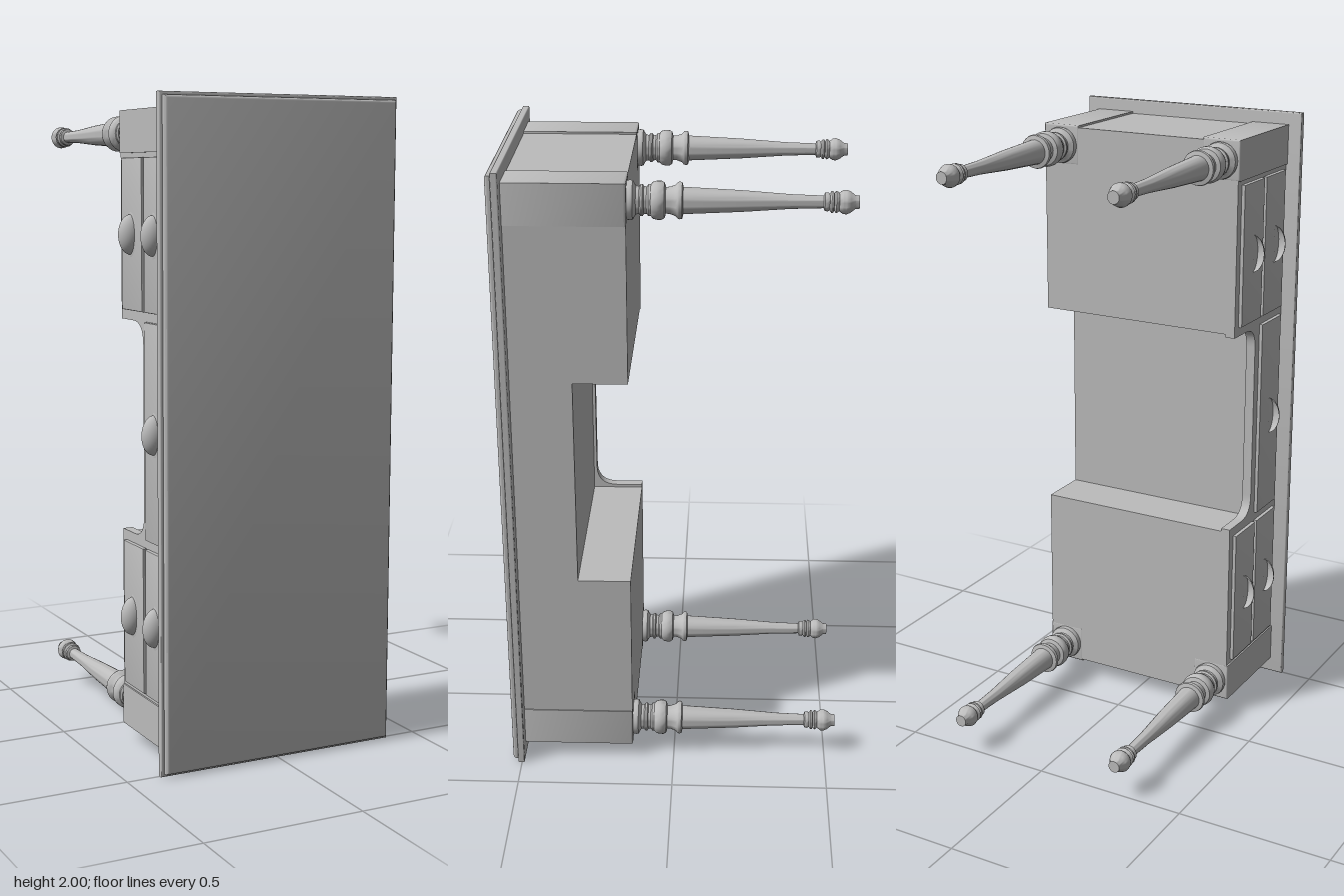
import * as THREE from 'three';
import { toCreasedNormals } from 'three/addons/utils/BufferGeometryUtils.js';

const MID = 1.006; // middle of the desk along its length (y)

export function createModel() {
  const group = new THREE.Group();
  const grey = new THREE.MeshStandardMaterial({ color: 0xbcbcbc, side: THREE.DoubleSide });
  grey.name = 'plain grey';

  const add = (name, geometry, x = 0, y = 0, z = 0) => {
    const mesh = new THREE.Mesh(geometry, grey);
    mesh.name = name;
    mesh.position.set(x, y, z);
    group.add(mesh);
    return mesh;
  };

  const rectangle = (w, h) => new THREE.Shape([
    new THREE.Vector2(-w / 2, -h / 2), new THREE.Vector2(w / 2, -h / 2),
    new THREE.Vector2(w / 2, h / 2), new THREE.Vector2(-w / 2, h / 2),
  ]);

  // Slab with bevelled edges, w x h x d overall, centred, thin along z
  const slab = (w, h, d, bevel, segments = 1) => {
    const geometry = new THREE.ExtrudeGeometry(rectangle(w - 2 * bevel, h - 2 * bevel), {
      depth: d - 2 * bevel, bevelSize: bevel, bevelThickness: bevel, bevelSegments: segments,
    });
    geometry.translate(0, 0, -d / 2 + bevel);
    return toCreasedNormals(geometry, 0.6);
  };

  // Case outline with a kneehole; drawn as (z, y) and extruded from x0 towards -x
  const caseSection = (x0, x1, half, open, depth, radius) => {
    const s = new THREE.Shape();
    s.moveTo(0.495, MID - half);
    s.lineTo(0.495, MID + half);
    s.lineTo(0.135, MID + half);
    s.lineTo(0.135, MID + open);
    if (radius) {
      s.lineTo(depth - radius, MID + open);
      s.quadraticCurveTo(depth, MID + open, depth, MID + open - radius);
      s.lineTo(depth, MID - open + radius);
      s.quadraticCurveTo(depth, MID - open, depth - radius, MID - open);
    } else {
      s.lineTo(depth, MID + open);
      s.lineTo(depth, MID - open);
    }
    s.lineTo(0.135, MID - open);
    s.lineTo(0.135, MID - half);
    const geometry = new THREE.ExtrudeGeometry(s, { depth: x0 - x1, bevelEnabled: false, curveSegments: 10 });
    geometry.rotateY(-Math.PI / 2);
    geometry.translate(x0, 0, 0);
    return toCreasedNormals(geometry, 0.5);
  };

  // Desk top: wide lower moulding and a narrower rounded upper board
  add('topMoulding', slab(0.79, 2, 0.022, 0.005, 3), 0, 1, 0.502);
  add('topBoard', slab(0.77, 1.98, 0.03, 0.009, 3), 0, 1, 0.515);

  // Case and the drawer-side frame with its rounded kneehole
  add('case', caseSection(0.348, -0.315, 0.948, 0.338, 0.302, 0));
  add('drawerFrame', caseSection(-0.315, -0.346, 0.948, 0.328, 0.292, 0.07));

  // Turned leg profile: radius, distance from the case
  const profile = [
    [0, 0], [0.056, 0], [0.058, 0.01], [0.056, 0.018], [0.048, 0.022], [0.041, 0.027],
    [0.04, 0.036], [0.046, 0.04], [0.046, 0.046], [0.04, 0.05], [0.039, 0.058],
    [0.046, 0.063], [0.046, 0.07], [0.053, 0.076], [0.056, 0.088], [0.056, 0.1],
    [0.051, 0.109], [0.038, 0.113], [0.039, 0.125], [0.045, 0.141], [0.052, 0.147],
    [0.054, 0.153], [0.052, 0.16], [0.039, 0.163], [0.031, 0.33], [0.021, 0.47],
    [0.018, 0.565], [0.026, 0.568], [0.027, 0.577], [0.024, 0.582], [0.031, 0.587],
    [0.031, 0.592], [0.025, 0.595], [0.032, 0.6], [0.03, 0.605], [0.026, 0.609],
    [0.034, 0.62], [0.035, 0.63], [0.03, 0.642], [0.02, 0.655], [0.019, 0.667], [0, 0.667],
  ].map(([r, y]) => new THREE.Vector2(r, y));
  const legGeometry = new THREE.LatheGeometry(profile, 32);
  legGeometry.rotateX(-Math.PI / 2);
  const leg = toCreasedNormals(legGeometry, 0.7);

  // Corner posts and legs
  const post = slab(0.128, 0.127, 0.362, 0.006, 3);
  for (const sx of [-1, 1]) {
    for (const sy of [-1, 1]) {
      add('cornerPost', post, sx * 0.287, MID + sy * 0.891, 0.315);
      add('turnedLeg', leg, sx * 0.287, MID + sy * 0.889, 0.135);
    }
  }

  // Cup pull: quarter dome open on its underside, with a thin backing flange
  const quarterDome = (rx, ry, rz) => {
    const geometry = new THREE.SphereGeometry(1, 12, 20, 0, Math.PI / 2);
    geometry.scale(rx, ry, rz);
    return geometry;
  };
  const cup = quarterDome(0.04, 0.06, 0.036);
  const flange = quarterDome(0.004, 0.07, 0.045);

  const addDrawer = (y, z, length) => {
    const front = slab(0.146, length, 0.016, 0.004, 2);
    front.rotateY(-Math.PI / 2);
    add('drawerFront', front, -0.35, y, z);
    add('cupPull', cup, -0.357, y, z - 0.008);
    add('pullFlange', flange, -0.357, y, z - 0.008);
  };

  // Two drawers in each pedestal and a long one over the kneehole
  for (const sy of [-1, 1]) {
    for (const z of [0.235, 0.395]) addDrawer(MID + sy * 0.586, z, 0.455);
  }
  addDrawer(MID, 0.395, 0.66);

  return group;
}
